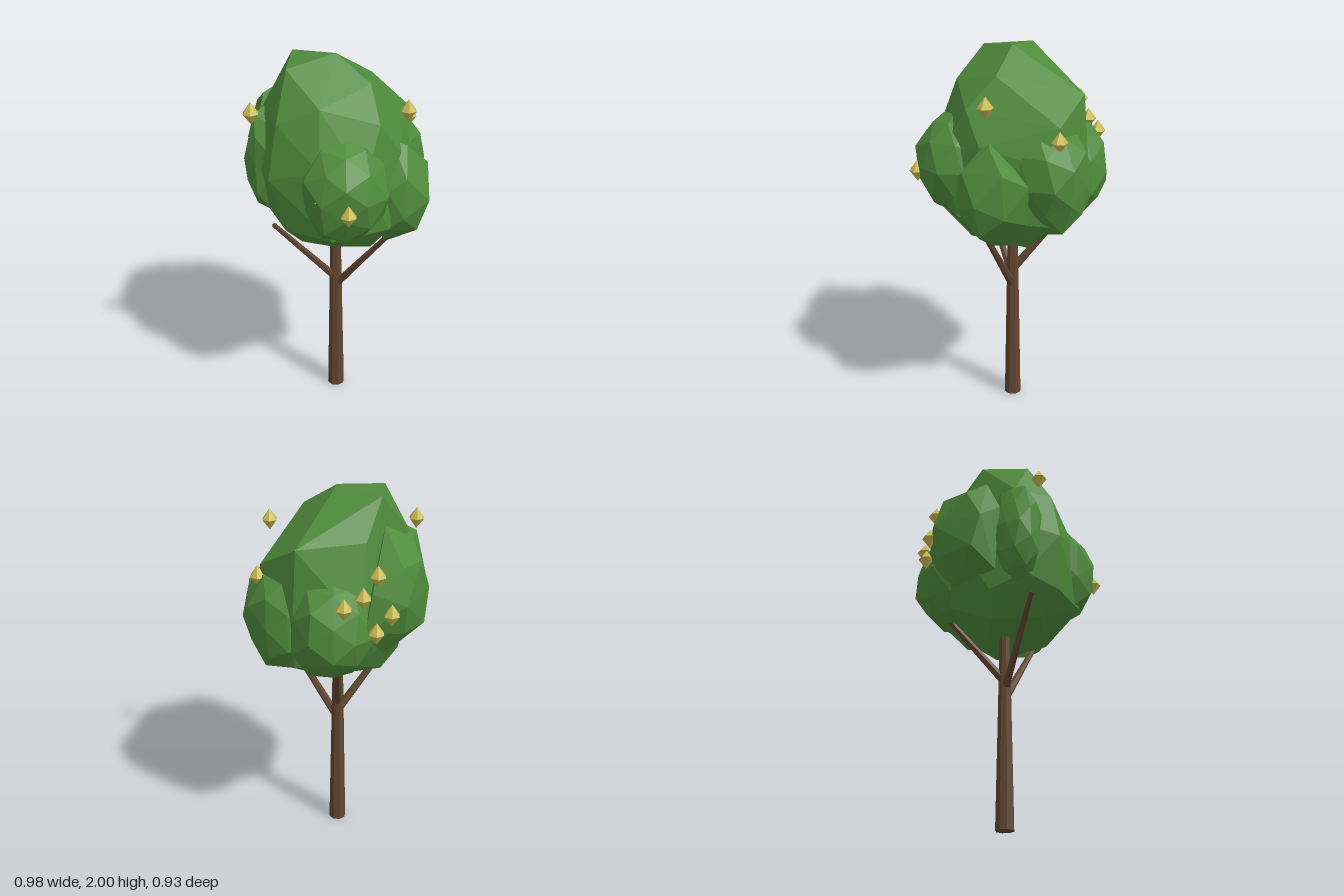
import * as THREE from 'three';
import { ConvexGeometry } from 'three/addons/geometries/ConvexGeometry.js';

const bark = new THREE.MeshStandardMaterial({ color: 0x624630, flatShading: true });
const leaf = new THREE.MeshStandardMaterial({ color: 0x4f8b3c, flatShading: true });
const gold = new THREE.MeshStandardMaterial({ color: 0xc8ba50, flatShading: true });
bark.name = 'bark brown';
leaf.name = 'leaf green';
gold.name = 'fruit gold';

const V = (p) => new THREE.Vector3(...p);

function add(group, name, geometry, material) {
  const mesh = new THREE.Mesh(geometry, material);
  mesh.name = name;
  group.add(mesh);
  return mesh;
}

// Tapered limb between two points
function limb(group, name, from, to, r0, r1, sides) {
  const a = V(from), b = V(to), dir = b.clone().sub(a);
  const mesh = add(group, name, new THREE.CylinderGeometry(r1, r0, dir.length(), sides), bark);
  mesh.position.copy(a).add(b).multiplyScalar(0.5);
  mesh.quaternion.setFromUnitVectors(new THREE.Vector3(0, 1, 0), dir.normalize());
}

// Faceted leaf clump: each corner is pushed in or out by a repeatable amount
function clump(radii, seed) {
  const g = new THREE.IcosahedronGeometry(1, 1);
  const p = g.attributes.position, v = new THREE.Vector3();
  for (let i = 0; i < p.count; i++) {
    v.fromBufferAttribute(p, i);
    const key = Math.round(v.x * 100) * 12.9 + Math.round(v.y * 100) * 78.2 + Math.round(v.z * 100) * 37.7;
    const k = 1 + 0.07 * Math.sin(key + seed * 5.3);
    p.setXYZ(i, v.x * radii[0] * k, v.y * radii[1] * k, v.z * radii[2] * k);
  }
  g.computeVertexNormals();
  return g;
}

export function createModel() {
  const tree = new THREE.Group();
  tree.name = 'tree';

  // Trunk and three branches
  limb(tree, 'trunk', [-0.025, 0, 0.012], [-0.025, 1.1, 0.012], 0.048, 0.027, 8);
  limb(tree, 'rightBranch', [-0.02, 0.69, 0.012], [0.3, 1.1, 0.012], 0.023, 0.014, 6);
  limb(tree, 'frontBranch', [-0.025, 0.73, 0.012], [-0.23, 1.14, 0.29], 0.023, 0.014, 6);
  limb(tree, 'backBranch', [-0.025, 0.78, 0.012], [-0.19, 1.18, -0.28], 0.023, 0.014, 6);

  // Angular main body of the crown, from the top down
  const crown = [
    [-0.16, 1.965, 0.24], [-0.265, 1.98, 0.01], [-0.02, 2, 0.01], [0.17, 1.88, 0.01],
    [0.28, 1.73, 0.12], [0.2, 1.67, -0.34], [-0.02, 1.79, -0.375], [-0.27, 1.8, -0.15],
    [0.05, 1.82, 0.29], [-0.14, 1.74, 0.37], [-0.31, 1.74, 0.24], [0.34, 1.57, 0.02],
    [0.28, 1.5, -0.28], [0.1, 1.55, 0.38], [0.28, 1.5, 0.26], [-0.16, 1.47, 0.425],
    [-0.34, 1.5, 0.27], [-0.34, 1.4, -0.26], [-0.02, 1.42, -0.41],
    [-0.37, 1.26, 0.05], [-0.27, 1.24, 0.28], [-0.1, 1.19, 0.38], [0.16, 1.19, 0.37],
    [0.35, 1.2, 0.14], [0.34, 1.2, -0.12], [0.22, 1.17, -0.31], [0, 1.17, -0.37], [-0.26, 1.21, -0.28],
    [-0.33, 1.16, 0.1], [-0.25, 1.03, 0.07], [-0.03, 1.015, -0.12], [0.2, 1.03, -0.17],
    [0.06, 1.05, 0.2], [-0.08, 1.07, 0.26], [0.24, 1.06, 0.12],
  ];
  add(tree, 'crownBody', new ConvexGeometry(crown.map(V)), leaf);

  // Boxy clump on the -x side of the crown
  const boxy = [
    [-0.29, 1.84, 0], [-0.38, 1.77, 0.11], [-0.47, 1.69, 0.04], [-0.45, 1.7, -0.12],
    [-0.49, 1.53, -0.15], [-0.475, 1.52, 0.13], [-0.48, 1.35, 0.08], [-0.46, 1.36, -0.1],
    [-0.36, 1.25, 0.15], [-0.35, 1.22, -0.1], [-0.38, 1.6, 0.19], [-0.36, 1.6, -0.25],
    [-0.34, 1.4, -0.28], [-0.2, 1.5, 0],
  ];
  add(tree, 'boxyClump', new ConvexGeometry(boxy.map(V)), leaf);

  // Pointed clump on the +x side of the crown
  const pointed = [
    [0.28, 1.61, -0.01], [0.35, 1.58, -0.04], [0.42, 1.47, -0.14], [0.41, 1.46, 0.08],
    [0.488, 1.32, -0.025], [0.43, 1.14, -0.02], [0.41, 1.25, 0.1], [0.42, 1.25, -0.15],
    [0.34, 1.4, 0.14], [0.33, 1.4, -0.24], [0.31, 1.2, -0.22], [0.33, 1.18, 0.12],
    [0.25, 1.03, 0], [0.24, 1.05, -0.13], [0.2, 1.4, 0],
  ];
  add(tree, 'pointedClump', new ConvexGeometry(pointed.map(V)), leaf);

  // Rounded leaf clumps: name, centre, radii
  const clumps = [
    ['frontClump', [0.155, 1.42, 0.23], [0.215, 0.28, 0.235]],
    ['smallClump', [-0.275, 1.49, 0.23], [0.115, 0.28, 0.14]],
    ['backRightClump', [0.11, 1.38, -0.24], [0.215, 0.29, 0.22]],
    ['backLeftClump', [-0.14, 1.37, -0.23], [0.22, 0.28, 0.235]],
  ];
  clumps.forEach(([name, centre, radii], i) => {
    add(tree, name, clump(radii, i), leaf).position.set(...centre);
  });

  // Six-sided double-pointed fruits
  const fruitShape = new THREE.LatheGeometry(
    [[0, -0.056], [0.041, 0], [0, 0.056]].map(([x, y]) => new THREE.Vector2(x, y)), 6);
  fruitShape.rotateY(Math.PI / 6);
  const fruits = [
    [-0.28, 1.77, 0.37], [0.355, 1.77, -0.025], [0.27, 1.38, 0.41], [0.215, 1.605, -0.345],
    [-0.27, 1.545, -0.36], [-0.33, 1.585, -0.285], [-0.39, 1.41, -0.26], [-0.44, 1.495, -0.205],
    [-0.37, 1.68, -0.22], [0.135, 1.43, 0.42], [-0.24, 1.29, 0.265],
  ];
  for (const p of fruits) add(tree, 'fruit', fruitShape, gold).position.set(...p);

  return tree;
}
